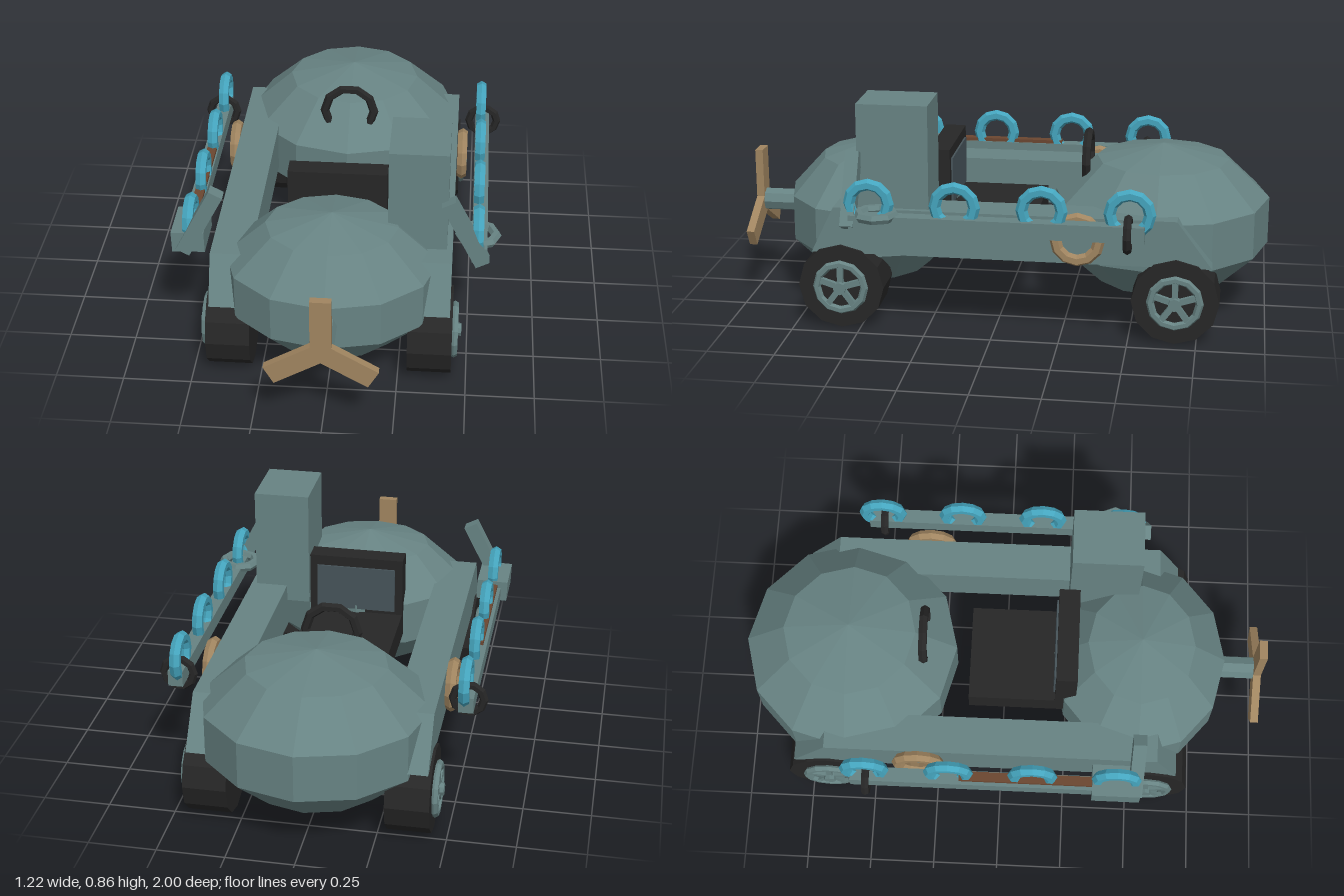
import * as THREE from 'three';

const mat = (name, color) => {
  const m = new THREE.MeshStandardMaterial({ color, flatShading: true });
  m.name = name;
  return m;
};

export function createModel() {
  const teal = mat('greyTeal', 0x678383);
  const black = mat('rubberBlack', 0x262626);
  const tan = mat('tanWood', 0xa08560);
  const blue = mat('ringBlue', 0x45a5be);
  const brown = mat('darkBrown', 0x6b4630);
  const slate = mat('slate', 0x465359);

  const root = new THREE.Group();
  root.name = 'buggy';
  const add = (name, geo, m, x, y, z, parent = root) => {
    const mesh = new THREE.Mesh(geo, m);
    mesh.name = name;
    mesh.position.set(x, y, z);
    parent.add(mesh);
    return mesh;
  };
  const box = (w, h, d) => new THREE.BoxGeometry(w, h, d);
  const torus = (r, t, n = 12) => new THREE.TorusGeometry(r, t, 6, n);

  // Faceted body pods; radii are measured at the sphere's widest ring
  const pod = (name, rx, ry, rz, y, z) => {
    const g = new THREE.SphereGeometry(1, 12, 5);
    g.scale(rx / 0.951, ry, rz / 0.951);
    add(name, g, teal, 0, y, z);
  };
  pod('frontPod', 0.39, 0.275, 0.33, 0.34, 0.522);
  pod('rearPod', 0.42, 0.29, 0.407, 0.35, -0.593);

  // Propeller and shaft
  const shaft = add('propellerShaft', new THREE.CylinderGeometry(0.044, 0.044, 0.18, 8), teal, 0, 0.35, 0.89);
  shaft.rotation.x = Math.PI / 2;
  const propeller = new THREE.Group();
  propeller.name = 'propeller';
  propeller.position.set(0, 0.348, 0.985);
  root.add(propeller);
  for (let i = 0; i < 3; i++) {
    const g = box(0.074, 0.21, 0.03);
    g.translate(0, 0.105, 0);
    add('blade', g, tan, 0, 0, 0, propeller).rotation.z = (i * Math.PI * 2) / 3;
  }

  // Chimney block, seat and steering wheel
  add('chimney', box(0.215, 0.455, 0.265), teal, 0.307, 0.628, 0.373);
  add('seatBase', box(0.37, 0.1, 0.41), black, 0, 0.345, 0.072);
  add('seatBack', box(0.37, 0.33, 0.08), black, 0, 0.465, 0.24);
  add('seatPad', box(0.31, 0.18, 0.008), slate, 0, 0.5, 0.197);
  add('steeringWheel', torus(0.098, 0.018, 10), black, 0, 0.57, -0.308);

  // Wheel with ring, five spokes and a hub cap
  const wheel = (name, side, z) => {
    const g = new THREE.Group();
    g.name = name;
    g.position.set(side * 0.365, 0.161, z);
    g.rotation.y = (side * Math.PI) / 2;
    root.add(g);
    const tyre = add('tyre', new THREE.CylinderGeometry(0.161, 0.161, 0.16, 12), black, 0, 0, 0, g);
    tyre.rotation.x = Math.PI / 2;
    add('rim', torus(0.09, 0.015, 12), teal, 0, 0, 0.088, g);
    for (let i = 0; i < 5; i++) {
      const s = box(0.022, 0.09, 0.02);
      s.translate(0, 0.045, 0);
      add('spoke', s, teal, 0, 0, 0.088, g).rotation.z = (i * Math.PI * 2) / 5;
    }
    const cap = add('hubCap', new THREE.CylinderGeometry(0.024, 0.024, 0.04, 8), teal, 0, 0, 0.093, g);
    cap.rotation.x = Math.PI / 2;
  };

  // Side profile of the chassis rails
  const profile = new THREE.Shape();
  [[-0.8, 0.29], [0.68, 0.29], [0.595, 0.465], [-0.67, 0.465]].forEach(([z, y], i) =>
    i ? profile.lineTo(z, y) : profile.moveTo(z, y));
  const railGeo = new THREE.ExtrudeGeometry(profile, { depth: 0.145, bevelEnabled: false });

  for (const side of [-1, 1]) {
    const tag = side > 0 ? 'left' : 'right';
    wheel(tag + 'FrontWheel', side, 0.57);
    wheel(tag + 'RearWheel', side, -0.67);

    const rail = add(tag + 'ChassisRail', railGeo, teal, side > 0 ? 0.435 : -0.29, 0, 0);
    rail.rotation.y = -Math.PI / 2;
    add(tag + 'TanRing', torus(0.08, 0.022, 12), tan, side * 0.456, 0.39, -0.312).rotation.y = Math.PI / 2;

    // Outrigger arm with its row of rings
    add(tag + 'Arm', box(0.055, 0.06, 1.07), teal, side * 0.532, 0.447, -0.025);
    for (let i = 0; i < 4; i++) {
      add(tag + 'BlueRing', torus(0.072, 0.022, 12), blue, side * 0.525, 0.515, 0.44 - i * 0.315).rotation.y = Math.PI / 2;
    }
    add(tag + 'EndRing', torus(0.056, 0.016, 10), black, side * 0.535, 0.443, -0.5);
    const brace = add(tag + 'Brace', box(0.055, 0.28, 0.05), teal, side * 0.48, 0.55, 0.515);
    brace.rotation.z = side * 0.48;
  }

  // Details that differ between the two arms
  add('armInlay', box(0.036, 0.014, 0.52), brown, -0.528, 0.483, 0.11);
  add('armBlock', box(0.12, 0.08, 0.18), teal, -0.525, 0.464, 0.44).rotation.z = 0.03;
  add('armCollar', torus(0.066, 0.019, 8), teal, 0.525, 0.475, 0.412).rotation.x = Math.PI / 2;

  return root;
}
